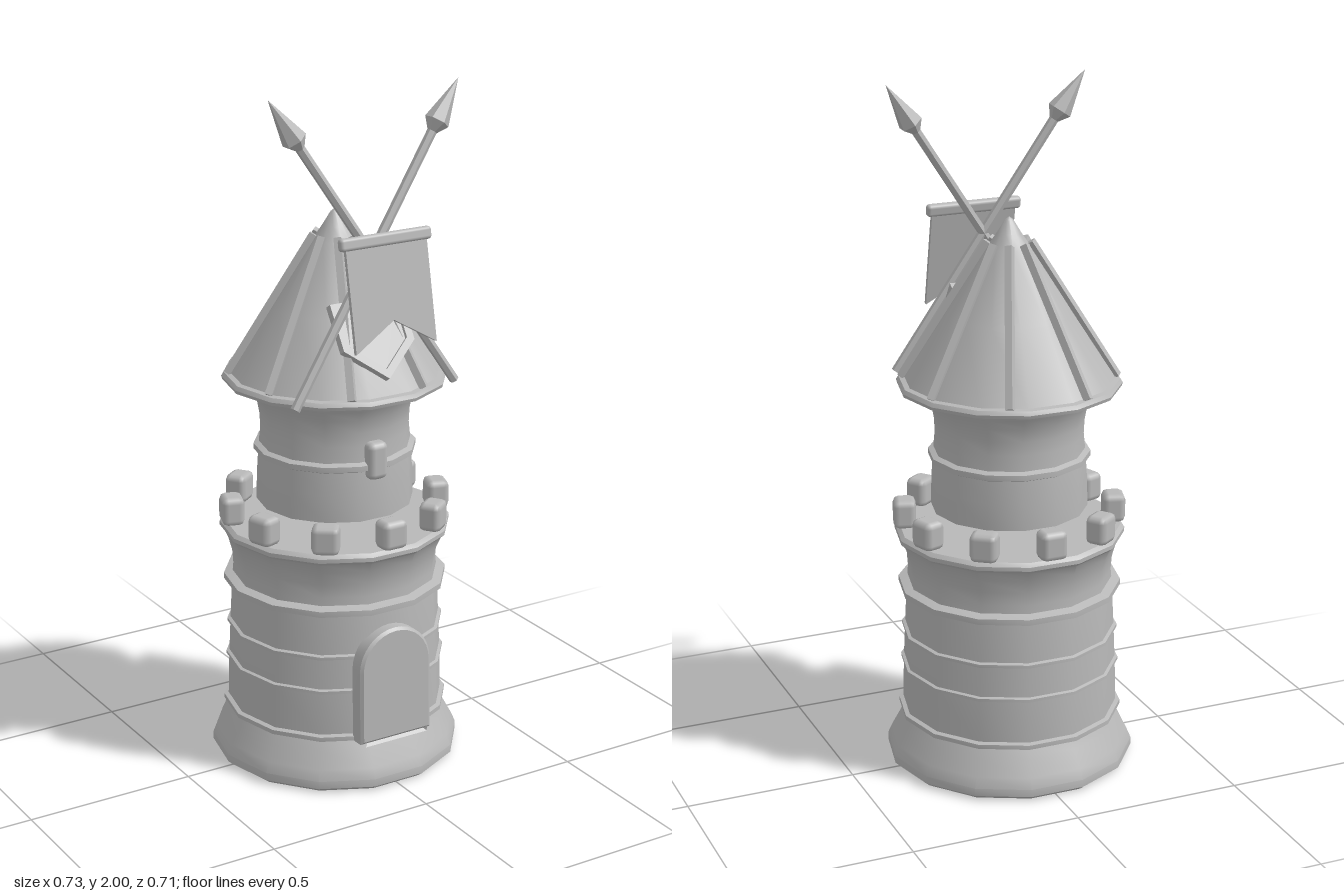
import * as THREE from 'three';
import { toCreasedNormals } from 'three/addons/utils/BufferGeometryUtils.js';
import { RoundedBoxGeometry } from 'three/addons/geometries/RoundedBoxGeometry.js';

const stone = new THREE.MeshStandardMaterial({ color: 0xb8b8b8 });
stone.name = 'grey stone';

function add(parent, name, geometry, x = 0, y = 0, z = 0) {
  const mesh = new THREE.Mesh(geometry, stone);
  mesh.name = name;
  mesh.position.set(x, y, z);
  parent.add(mesh);
  return mesh;
}

// Fourteen-sided turned part, profile given from bottom to top as [radius, y]
function turned(profile) {
  const points = profile.map(([r, y]) => new THREE.Vector2(r, y));
  return toCreasedNormals(new THREE.LatheGeometry(points, 14, Math.PI / 2), 0.55);
}

// Narrow raised ring around a wall
function ring(parent, name, r, y, h, depth) {
  add(parent, name, turned([
    [r - depth, y - h / 2], [r, y - h / 4], [r, y + h / 4], [r - depth, y + h / 2],
  ]));
}

// Rod with few flat sides between two points
function rod(parent, name, a, b, r0, r1, sides) {
  const dir = b.clone().sub(a);
  const geo = toCreasedNormals(new THREE.CylinderGeometry(r1, r0, dir.length(), sides), 0.4);
  const mesh = add(parent, name, geo);
  mesh.position.copy(a).add(b).multiplyScalar(0.5);
  mesh.quaternion.setFromUnitVectors(new THREE.Vector3(0, 1, 0), dir.normalize());
  return mesh;
}

function polygon(points) {
  return new THREE.Shape(points.map(([x, y]) => new THREE.Vector2(x, y)));
}

function arch(w, h) {
  const s = new THREE.Shape();
  s.moveTo(-w, 0);
  s.lineTo(w, 0);
  s.lineTo(w, h - w);
  s.absarc(0, h - w, w, 0, Math.PI, false);
  s.lineTo(-w, 0);
  return s;
}

function plate(shape, depth, bevel = 0) {
  const geo = new THREE.ExtrudeGeometry(shape, {
    depth, curveSegments: 8, bevelEnabled: bevel > 0,
    bevelSize: bevel, bevelThickness: bevel, bevelSegments: 1, bevelOffset: -bevel,
  });
  return toCreasedNormals(geo, 0.5);
}

export function createModel() {
  const model = new THREE.Group();
  model.name = 'tower';

  // Lower tower
  add(model, 'foundation', turned([
    [0, 0], [0.35, 0], [0.365, 0.012], [0.365, 0.035], [0.352, 0.065], [0.325, 0.115], [0.312, 0.142], [0, 0.142],
  ]));
  add(model, 'lowerWall', turned([
    [0.3, 0.135], [0.318, 0.15], [0.314, 0.29], [0.309, 0.4], [0.302, 0.54], [0.298, 0.58],
    [0.301, 0.62], [0.312, 0.66], [0.325, 0.69], [0.336, 0.7], [0.336, 0.712], [0.325, 0.722], [0, 0.722],
  ]));
  ring(model, 'footRing', 0.33, 0.152, 0.026, 0.02);
  ring(model, 'lowerBand', 0.322, 0.295, 0.018, 0.012);
  ring(model, 'middleBand', 0.318, 0.4, 0.018, 0.012);
  ring(model, 'upperBand', 0.326, 0.54, 0.034, 0.028);

  // Battlements
  for (let i = 0; i < 10; i++) {
    const a = i * Math.PI / 5;
    const block = add(model, 'battlement', new RoundedBoxGeometry(0.08, 0.086, 0.066, 1, 0.018),
      Math.sin(a) * 0.305, 0.763, Math.cos(a) * 0.305);
    block.rotation.y = a;
  }

  // Upper tower
  add(model, 'upperWall', turned([
    [0, 0.78], [0.228, 0.78], [0.226, 0.86], [0.221, 0.94], [0.215, 1.0], [0.217, 1.04],
    [0.224, 1.08], [0.24, 1.11], [0.25, 1.13], [0, 1.13],
  ]));
  ring(model, 'upperWallBand', 0.235, 0.94, 0.032, 0.018);
  add(model, 'smallWindow', new RoundedBoxGeometry(0.062, 0.11, 0.05, 2, 0.018), 0, 0.957, 0.22);

  // Roof with eight ribs
  add(model, 'eaves', turned([
    [0, 1.122], [0.25, 1.122], [0.322, 1.145], [0.325, 1.155], [0.318, 1.166], [0.29, 1.172],
  ]));
  add(model, 'roof', turned([
    [0.306, 1.165], [0.18, 1.36], [0.062, 1.55], [0.035, 1.59], [0.012, 1.628], [0, 1.637],
  ]));
  for (let i = 0; i < 8; i++) {
    const a = (i + 0.5) * Math.PI / 4;
    const at = (r, y) => new THREE.Vector3(Math.sin(a) * r, y, Math.cos(a) * r);
    rod(model, 'roofRib', at(0.308, 1.168), at(0.06, 1.565), 0.015, 0.015, 4);
  }

  // Arched door with a stepped frame
  const door = new THREE.Group();
  door.name = 'door';
  door.position.set(0, 0.145, 0.295);
  door.rotation.x = -0.02;
  model.add(door);
  const outer = arch(0.118, 0.338);
  outer.holes.push(arch(0.096, 0.314));
  add(door, 'doorFrame', plate(outer, 0.04, 0.008));
  const inner = arch(0.1, 0.318);
  inner.holes.push(arch(0.08, 0.296));
  add(door, 'innerFrame', plate(inner, 0.034));
  add(door, 'doorPanel', plate(arch(0.082, 0.298), 0.026));

  // Shield lying on the front slope of the roof
  const shield = new THREE.Group();
  shield.name = 'shield';
  shield.position.set(0, 1.207, 0.277);
  shield.rotation.x = -0.58;
  model.add(shield);
  const edge = (w, bottom, top) => polygon([[0, bottom], [w, bottom + w * 0.85], [w, top], [-w, top], [-w, bottom + w * 0.85]]);
  const border = edge(0.115, 0, 0.235);
  border.holes.push(edge(0.093, 0.028, 0.213));
  add(shield, 'shieldBorder', plate(border, 0.024), 0, 0, -0.006);
  add(shield, 'shieldFace', plate(edge(0.1, 0.016, 0.222), 0.014), 0, 0, -0.006);

  // Crossed spears
  for (const side of [-1, 1]) {
    const spear = new THREE.Group();
    spear.name = side > 0 ? 'leftSpear' : 'rightSpear';
    model.add(spear);
    const foot = new THREE.Vector3(-side * 0.262, 1.15, 0.222);
    const tip = new THREE.Vector3(side * 0.302, 2, 0.158);
    const along = t => foot.clone().lerp(tip, t);
    rod(spear, 'shaft', foot, along(0.88), 0.014, 0.014, 6);
    rod(spear, 'headSocket', along(0.838), along(0.868), 0.014, 0.036, 6);
    rod(spear, 'headPoint', along(0.868), tip, 0.036, 0.0005, 6);
  }

  // Hanging banner with a swallow tail
  const banner = new THREE.Group();
  banner.name = 'banner';
  banner.position.set(0, 1.607, 0.262);
  banner.rotation.x = -0.2;
  model.add(banner);
  const cloth = polygon([[-0.13, 0], [-0.13, -0.3], [0, -0.222], [0.13, -0.3], [0.13, 0]]);
  add(banner, 'cloth', plate(cloth, 0.012), 0, 0, -0.006);
  add(banner, 'bannerBar', new RoundedBoxGeometry(0.292, 0.036, 0.026, 2, 0.01));

  return model;
}
